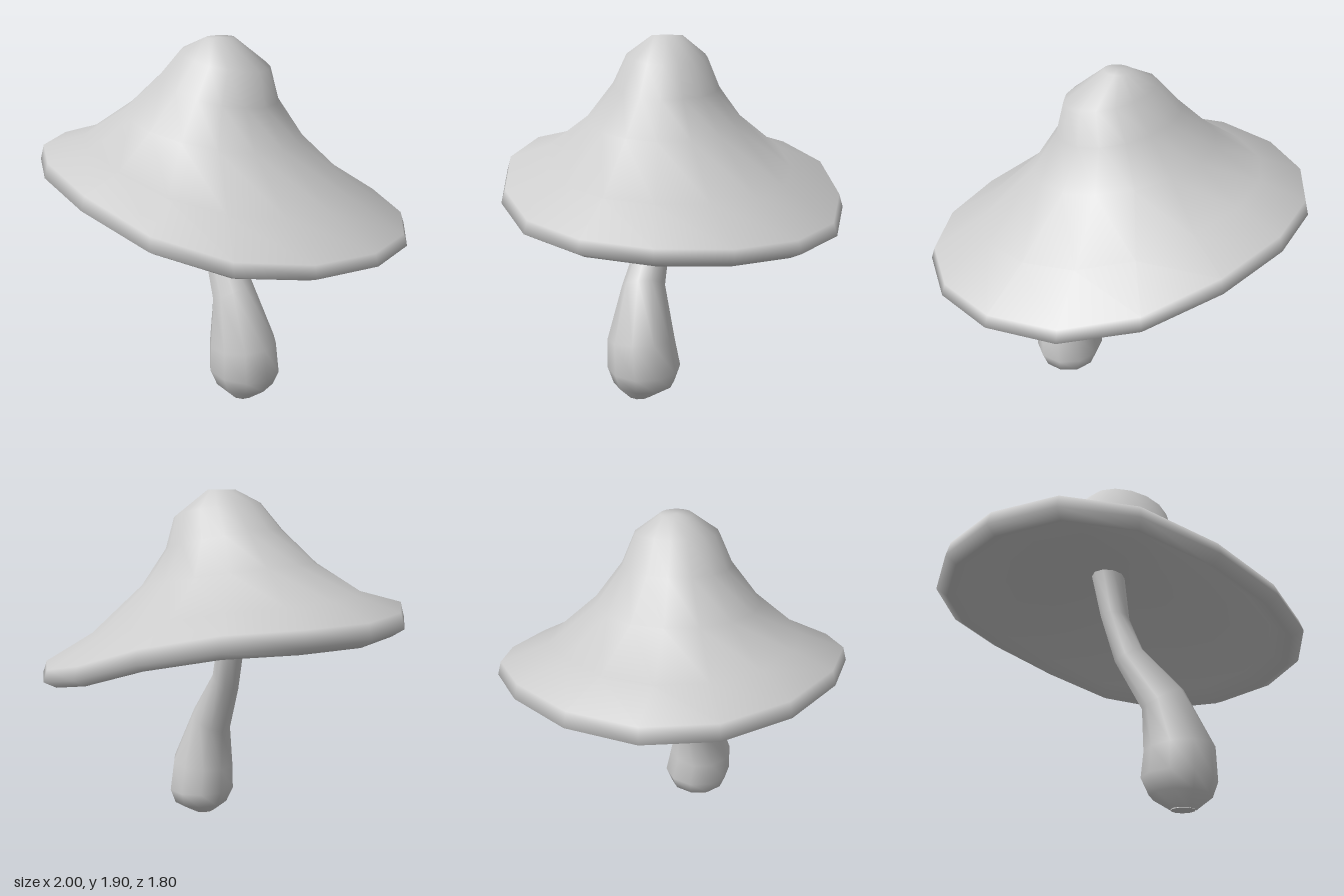
import * as THREE from 'three';
import { mergeVertices } from 'three/addons/utils/BufferGeometryUtils.js';

// Joins tilted elliptical rings, listed from the top down.
// Each ring: [xMin, yAtMin, xMax, yAtMax, zCentre, zRadius, wave]
function loft(rings, sides) {
  const pos = [], index = [];
  const fit = 1 / Math.cos(Math.PI / sides); // corners reach the given width
  rings.forEach(([x0, y0, x1, y1, zc, rz, wave = 0], i) => {
    for (let j = 0; j < sides; j++) {
      const a = ((j + 0.5) / sides) * Math.PI * 2;
      const u = Math.cos(a) * fit, v = Math.sin(a) * fit;
      // the brim lifts on one side and dips on the other
      const bend = 0.02 * (1 - u * u) - 0.05 * Math.sin(Math.PI * u) + 0.025 * v;
      pos.push(
        (x0 + x1) / 2 + (u * (x1 - x0)) / 2,
        (y0 + y1) / 2 + (u * (y1 - y0)) / 2 + wave * bend,
        zc + rz * v
      );
      if (i === rings.length - 1) continue;
      const k = (j + 1) % sides, p = i * sides, q = p + sides;
      if (x1 > x0) index.push(p + j, p + k, q + j);
      const next = rings[i + 1];
      if (next[2] > next[0]) index.push(p + k, q + k, q + j);
    }
  });
  const geo = new THREE.BufferGeometry();
  geo.setAttribute('position', new THREE.Float32BufferAttribute(pos, 3));
  geo.setIndex(index);
  const merged = mergeVertices(geo, 1e-4);
  merged.computeVertexNormals();
  return merged;
}

export function createModel() {
  const group = new THREE.Group();
  const material = new THREE.MeshStandardMaterial({ color: 0xcccccc, side: THREE.DoubleSide });
  const add = (name, geometry) => {
    const mesh = new THREE.Mesh(geometry, material);
    mesh.name = name;
    group.add(mesh);
    return mesh;
  };

  // Cap: outer skin, rolled rim, then the hollow underside
  add('cap', loft([
    [0, 1.9, 0, 1.9, 0.03, 0],
    [-0.07, 1.9, 0.07, 1.9, 0.025, 0.08],
    [-0.2, 1.84, 0.27, 1.75, 0.03, 0.21],
    [-0.33, 1.7, 0.31, 1.58, 0.03, 0.28],
    [-0.52, 1.53, 0.44, 1.38, 0.03, 0.42],
    [-0.76, 1.37, 0.73, 1.12, 0.02, 0.65, 0.5],
    [-0.98, 1.3, 0.98, 0.97, 0, 0.88, 1],
    [-1, 1.22, 1, 0.91, 0, 0.9, 1],
    [-0.94, 1.18, 0.93, 0.88, 0, 0.84, 1],
    [-0.85, 1.22, 0.83, 0.96, 0, 0.76, 0.9],
    [-0.6, 1.3, 0.58, 1.12, 0.01, 0.54, 0.5],
    [-0.26, 1.34, 0.22, 1.28, 0.03, 0.23],
    [-0.05, 1.34, -0.05, 1.34, 0.03, 0],
  ], 16));

  // Stem: bent neck swelling to a bulb
  add('stem', loft([
    [-0.17, 1.34, 0, 1.37, 0.04, 0.085],
    [-0.12, 1.09, 0.03, 1.07, 0.05, 0.075],
    [-0.05, 0.81, 0.09, 0.88, 0.09, 0.08],
    [0.075, 0.53, 0.28, 0.64, 0.17, 0.11],
    [0.08, 0.3, 0.43, 0.33, 0.19, 0.17],
    [0.07, 0.17, 0.44, 0.15, 0.175, 0.185],
    [0.11, 0.08, 0.41, 0.07, 0.175, 0.155],
    [0.2, 0.005, 0.32, 0, 0.2, 0.06],
  ], 10));

  // Flat foot under the bulb
  const foot = add('stemBase', new THREE.CircleGeometry(0.062, 10));
  foot.rotation.x = Math.PI / 2;
  foot.position.set(0.26, 0.001, 0.2);

  return group;
}
